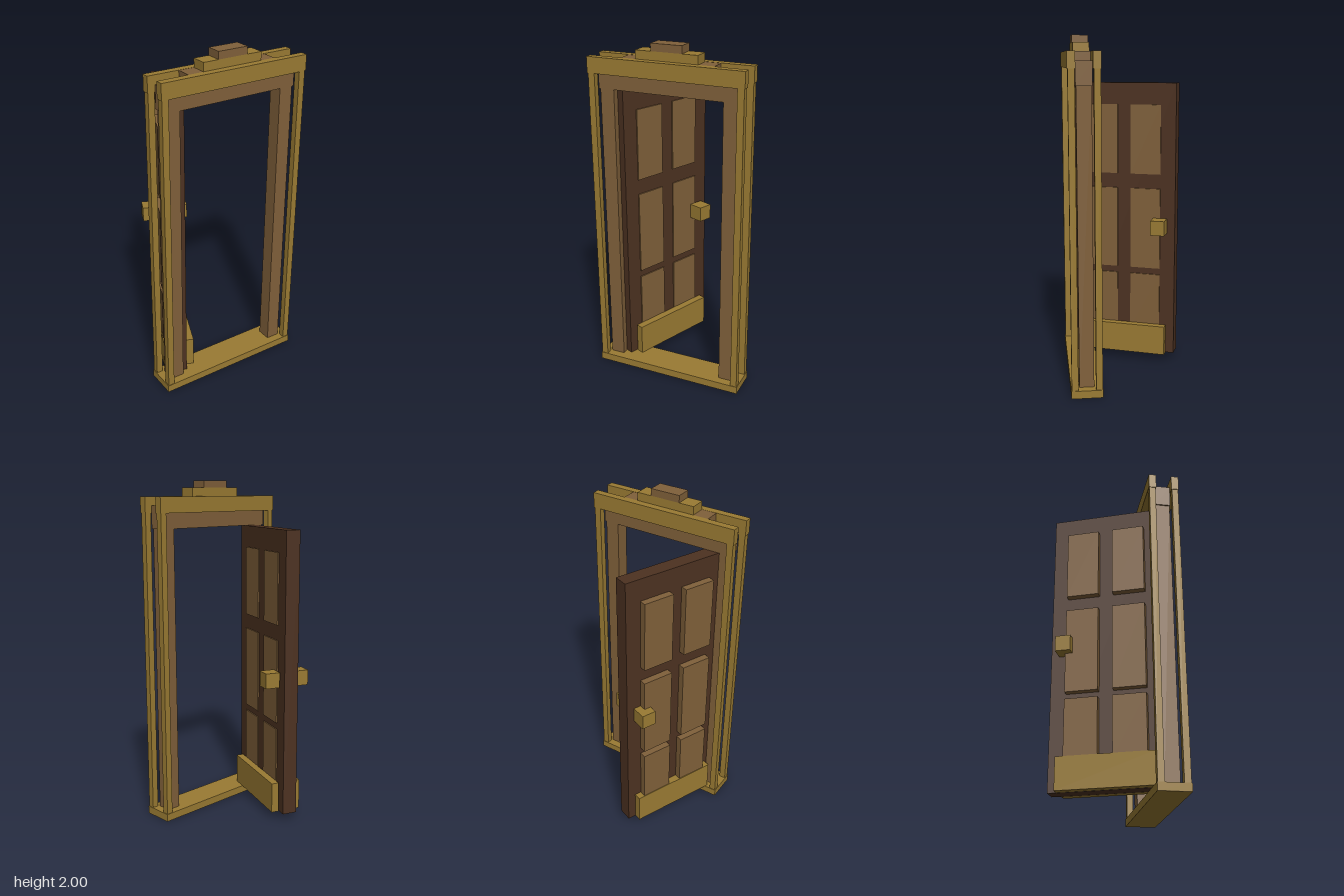
import * as THREE from 'three';

export function createModel() {
  const model = new THREE.Group();
  model.name = 'doorway';

  const mat = (name, color) => {
    const m = new THREE.MeshStandardMaterial({ color });
    m.name = name;
    return m;
  };
  const gold = mat('gold', 0x9a7b33);
  const brown = mat('brown', 0x80603a);
  const dark = mat('dark wood', 0x4d3221);

  // Box given by its extents on each axis
  const box = (parent, name, material, [x0, x1], [y0, y1], [z0, z1]) => {
    const mesh = new THREE.Mesh(new THREE.BoxGeometry(x1 - x0, y1 - y0, z1 - z0), material);
    mesh.position.set((x0 + x1) / 2, (y0 + y1) / 2, (z0 + z1) / 2);
    mesh.name = name;
    parent.add(mesh);
  };

  // Frame, built around its own centre plane
  const frame = new THREE.Group();
  frame.name = 'frame';
  frame.position.z = 0.2585;
  model.add(frame);
  box(frame, 'sill', gold, [-0.453, 0.453], [0, 0.045], [-0.09, 0.09]);
  box(frame, 'headJamb', brown, [-0.41, 0.41], [1.73, 1.86], [-0.045, 0.045]);
  box(frame, 'crestBase', brown, [-0.27, 0.27], [1.86, 1.909], [-0.046, 0.046]);
  box(frame, 'crestStep', gold, [-0.18, 0.18], [1.909, 1.958], [-0.046, 0.046]);
  box(frame, 'crestCap', brown, [-0.09, 0.09], [1.958, 2], [-0.046, 0.046]);
  for (const s of [-1, 1]) {
    const span = (a, b) => (s > 0 ? [a, b] : [-b, -a]);
    box(frame, 'sideJamb', brown, span(0.32, 0.402), [0.02, 1.74], [-0.042, 0.042]);
    box(frame, 'topTrim', gold, [-0.453, 0.453], [1.82, 1.91], span(0.046, 0.09));
    for (const f of [-1, 1]) {
      box(frame, 'trimPost', gold, span(0.411, 0.449), [0.04, 1.83],
        f > 0 ? [0.05, 0.087] : [-0.087, -0.05]);
    }
  }

  // Open door, hinged on the frame's right jamb
  const door = new THREE.Group();
  door.name = 'door';
  door.position.set(-0.32, 0, 0.26);
  door.rotation.y = THREE.MathUtils.degToRad(68);
  model.add(door);
  box(door, 'doorSlab', dark, [0, 0.64], [0.045, 1.73], [-0.043, 0.043]);

  // Six panels, nearly flush on one face and raised on the other
  for (const columns of [[0.092, 0.279], [0.361, 0.548]]) {
    for (const rows of [[0.2, 0.55], [0.59, 1.09], [1.18, 1.6]]) {
      box(door, 'panel', brown, columns, rows, [-0.084, 0.05]);
    }
  }

  // Kick plates and knobs on both faces
  box(door, 'frontKickPlate', gold, [0.047, 0.59], [0.046, 0.228], [0.05, 0.094]);
  box(door, 'backKickPlate', gold, [0.047, 0.59], [0.046, 0.228], [-0.088, -0.043]);
  box(door, 'frontKnob', gold, [0.507, 0.594], [0.82, 0.91], [0.052, 0.14]);
  box(door, 'backKnob', gold, [0.507, 0.594], [0.82, 0.91], [-0.132, -0.043]);

  return model;
}
